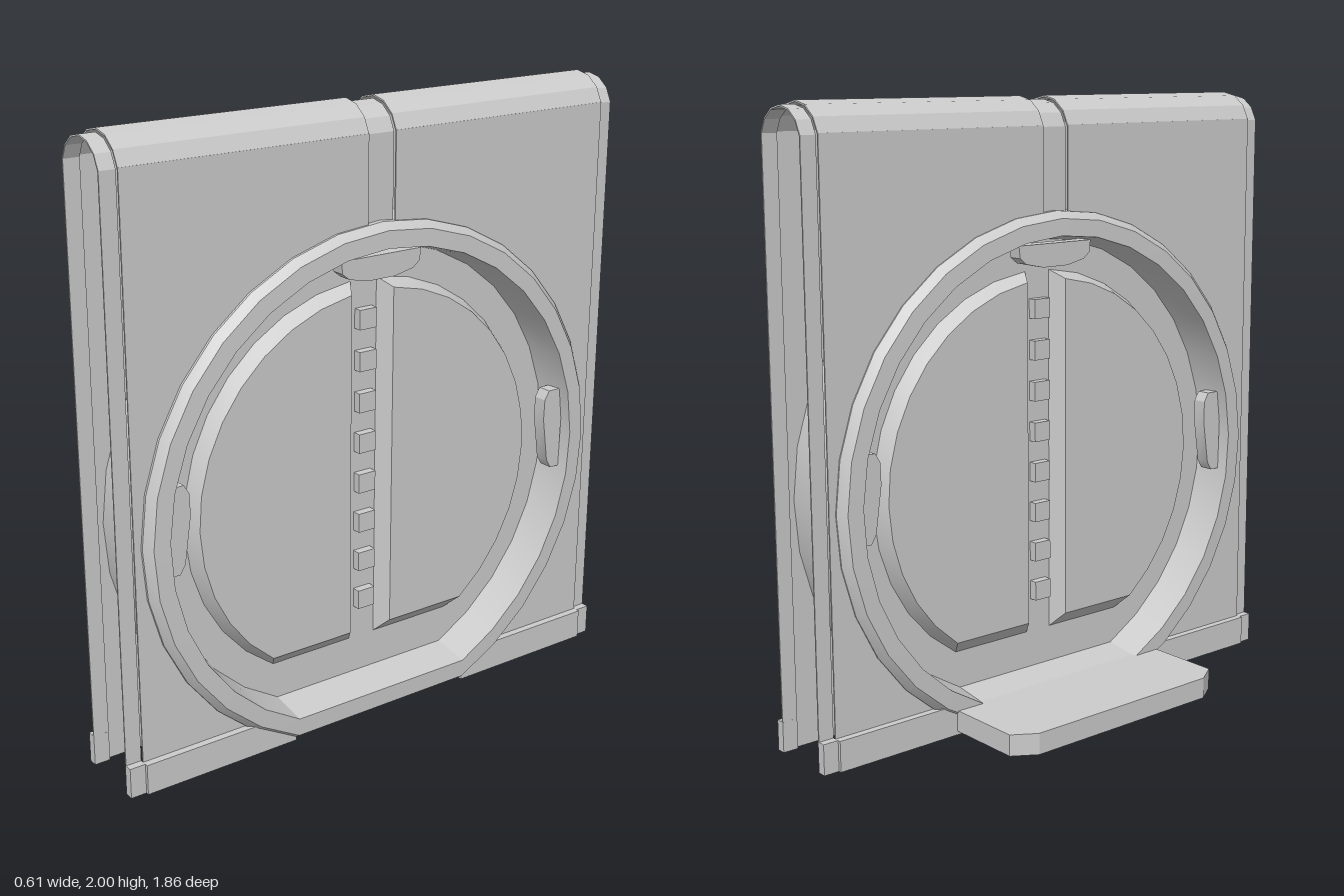
import * as THREE from 'three';
import { toCreasedNormals } from 'three/addons/utils/BufferGeometryUtils.js';

const CY = 0.785; // height of the drum centre
const MID = 0.15; // x of the sleeve's middle plane
const DEPTH = 0.304; // drum thickness along x
const FLOOR = 0.175; // x of the recessed floor
const WALL = 0.005; // sleeve thickness
const material = new THREE.MeshStandardMaterial({ color: 0xcccccc, side: THREE.DoubleSide });

function add(group, name, geometry, crease = 0.45) {
  const mesh = new THREE.Mesh(toCreasedNormals(geometry, crease), material);
  mesh.name = name;
  group.add(mesh);
  return mesh;
}

function addBox(group, name, x0, x1, y0, y1, z0, z1) {
  const mesh = add(group, name, new THREE.BoxGeometry(x1 - x0, y1 - y0, z1 - z0));
  mesh.position.set((x0 + x1) / 2, (y0 + y1) / 2, (z0 + z1) / 2);
}

// Points [z, y] along a circle cut flat at the given bottom height
const flatAngle = (r, bottom) => Math.acos((bottom - CY) / r);
function arc(r, a0, a1, n) {
  return Array.from({ length: n + 1 }, (_, i) => {
    const a = a0 + (a1 - a0) * i / n;
    return [r * Math.sin(a), CY + r * Math.cos(a)];
  });
}
function drumOutline(r, bottom) {
  const a = flatAngle(r, bottom);
  return arc(r, -a, a, 28);
}
function halfOutline(r, bottom, zMin) {
  return [...arc(r, Math.asin(zMin / r), flatAngle(r, bottom), 13), [zMin, bottom]];
}

// Skin over convex [z, y] sections placed along x, closed at both ends
function loft(sections) {
  const pos = [], index = [], n = sections[0].pts.length, last = sections.length - 1;
  for (const { x, pts } of sections) for (const [z, y] of pts) pos.push(x, y, z);
  for (const { x, pts } of [sections[0], sections[last]]) {
    pos.push(x, pts.reduce((s, p) => s + p[1], 0) / n, pts.reduce((s, p) => s + p[0], 0) / n);
  }
  const c0 = n * (last + 1), c1 = c0 + 1;
  for (let j = 0; j < n; j++) {
    const k = (j + 1) % n;
    for (let i = 0; i < last; i++) {
      const a = i * n + j, b = i * n + k;
      index.push(a, b, b + n, a, b + n, a + n);
    }
    index.push(c0, k, j, c1, last * n + j, last * n + k);
  }
  const g = new THREE.BufferGeometry();
  g.setAttribute('position', new THREE.Float32BufferAttribute(pos, 3));
  g.setIndex(index);
  g.computeVertexNormals();
  return g;
}

// Flat plate from a [z, y] outline, thickened along x
function plate(pts, x0, x1) {
  const shape = new THREE.Shape(pts.map(([z, y]) => new THREE.Vector2(-z, y)));
  const g = new THREE.ExtrudeGeometry(shape, { depth: x1 - x0, bevelEnabled: false });
  return g.rotateY(Math.PI / 2).translate(x0, 0, 0);
}

// Thin folded strip: a faceted round top with two legs down to yBottom
function foldedStrip(z0, z1, inset, yBottom) {
  const side = (t) => {
    const r = 0.12 - t, start = Math.asin(0.028 / 0.12), pts = [];
    for (let i = 0; i <= 6; i++) {
      const a = start + (Math.PI - 2 * start) * i / 6;
      pts.push(new THREE.Vector2(MID + r * Math.cos(a), 1.88 + r * Math.sin(a)));
    }
    return [new THREE.Vector2(pts[0].x, yBottom), ...pts, new THREE.Vector2(pts[6].x, yBottom)];
  };
  const shape = new THREE.Shape([...side(inset), ...side(inset + WALL).reverse()]);
  return new THREE.ExtrudeGeometry(shape, { depth: z1 - z0, bevelEnabled: false }).translate(0, 0, z0);
}

// Raised details of one drum face
function createFace() {
  const face = new THREE.Group();
  for (const s of [1, -1]) {
    const section = (x, r, bottom, zMin) => {
      const pts = halfOutline(r, bottom, zMin).map(([z, y]) => [s * z, y]);
      return { x, pts: s > 0 ? pts : pts.reverse() };
    };
    add(face, 'raisedPanel', loft([section(FLOOR, 0.66, 0.225, 0.05), section(0.225, 0.635, 0.275, 0.08)]));
    const sideTab = [[0.772, 0.96], [0.71, 0.96], [0.692, 0.93], [0.69, 0.86], [0.712, 0.71], [0.73, 0.68], [0.765, 0.68]];
    add(face, 'sideTab', plate(sideTab.map(([z, y]) => [s * z, y]), 0.22, 0.268));
  }
  const topTab = [[0.15, 1.54], [0.145, 1.5], [0.12, 1.48], [0.05, 1.465]];
  const mirrored = topTab.map(([z, y]) => [-z, y]).reverse();
  add(face, 'topTab', plate([...topTab, ...mirrored], 0.22, 0.268));
  for (let i = 0; i < 8; i++) {
    const y = 0.37 + i * 0.136;
    addBox(face, 'hingeBlock', FLOOR, 0.203, y - 0.032, y + 0.032, -0.032, 0.032);
  }
  return face;
}

export function createModel() {
  const model = new THREE.Group();

  // Drum with chamfered lips and a deep recess on both faces
  const half = [[FLOOR, 0.762, 0.1], [DEPTH, 0.78, 0.08], [DEPTH - 0.002, 0.835, 0.02], [0.275, 0.858, 0]];
  const rings = [...half.map(([x, r, b]) => [DEPTH - x, r, b]), ...half.reverse()];
  add(model, 'drum', loft(rings.map(([x, r, b]) => ({ x, pts: drumOutline(r, b) }))));

  const frontFace = createFace();
  frontFace.name = 'faceDetails';
  const backFace = createFace();
  backFace.name = 'oppositeFaceDetails';
  backFace.rotation.y = Math.PI;
  backFace.position.x = DEPTH;
  model.add(frontFace, backFace);

  // Folded sleeve around the drum
  const legX = 0.12 * Math.cos(Math.asin(0.028 / 0.12));
  const notch = arc(0.82, flatAngle(0.82, 0.01), Math.asin(0.05 / 0.82), 14);
  const rail = [[0.88, 0], [0.88, 0.1], [0.42, 0.1], [0.34, 0.02], [0.34, 0]];
  for (const s of [1, -1]) {
    const [zIn, zOut] = s > 0 ? [0.05, 0.88] : [-0.88, -0.05];
    const [e0, e1] = s > 0 ? [0.88, 0.932] : [-0.932, -0.88];
    add(model, 'sleeveTop', foldedStrip(zIn, zOut, 0, 1.9), 0.43);
    add(model, 'sleeveEdge', foldedStrip(e0, e1, 0.012, 0), 0.43);
    const sheet = [[0.05, 1.91], [0.88, 1.91], [0.88, 0], [notch[0][0], 0], ...notch].map(([z, y]) => [s * z, y]);
    const railShape = rail.map(([z, y]) => [s * z, y]);
    for (const t of [1, -1]) {
      // Span between two distances from the middle plane, on either side
      const span = (a, b) => (t > 0 ? [MID + a, MID + b] : [MID - b, MID - a]);
      add(model, 'sleeveSheet', plate(sheet, ...span(legX - WALL, legX)));
      add(model, 'bottomRail', plate(railShape, ...span(legX - WALL, 0.141)));
      addBox(model, 'railEnd', ...span(0.1, 0.13), 0, 0.1, e0, e1);
    }
  }
  add(model, 'sleeveGroove', foldedStrip(-0.05, 0.05, 0.012, 1.62), 0.43);

  // Foot plate with cut corners
  const foot = new THREE.Shape([[0.02, -0.437], [-0.255, -0.437], [-0.305, -0.36], [-0.305, 0.36], [-0.255, 0.437], [0.02, 0.437]]
    .map(([x, z]) => new THREE.Vector2(x, z)));
  const footGeometry = new THREE.ExtrudeGeometry(foot, { depth: 0.07, bevelEnabled: false });
  add(model, 'footPlate', footGeometry.rotateX(-Math.PI / 2).translate(0, 0.013, 0));

  return model;
}
